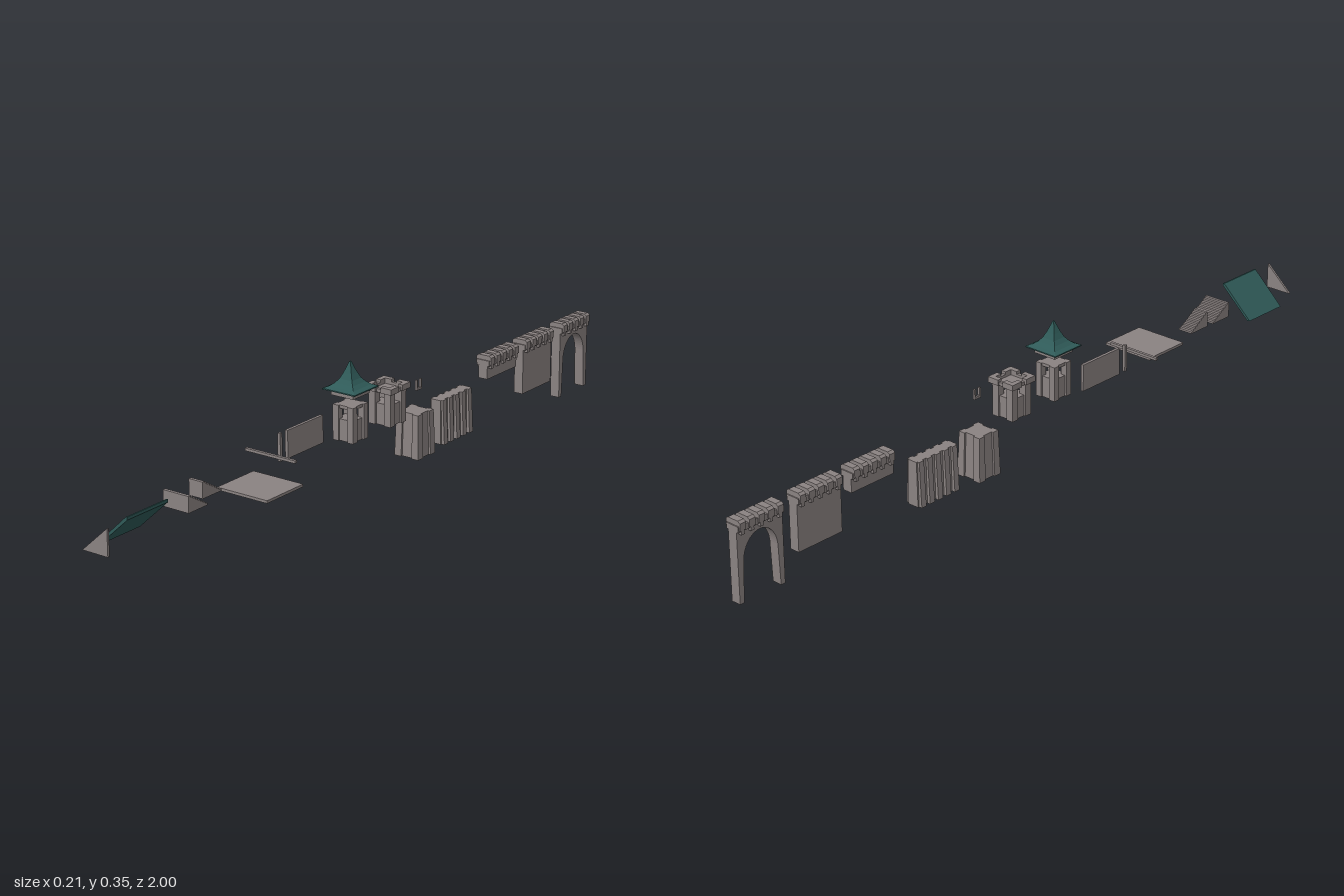
import * as THREE from 'three';

const stone = new THREE.MeshStandardMaterial({ color: 0x8a8281 });
stone.name = 'warm grey stone';
const tile = new THREE.MeshStandardMaterial({ color: 0x2f5a58 });
tile.name = 'dark teal roof tile';

const CX = -0.004; // shared centre line of the kit pieces
const SIGNS = [-1, 1];

export function createModel() {
  const root = new THREE.Group();
  root.name = 'castleKit';

  const piece = (name, x = CX, z = 0) => {
    const g = new THREE.Group();
    g.name = name;
    g.position.set(x, 0, z);
    root.add(g);
    return g;
  };
  const add = (parent, name, geo, mat = stone) => {
    const m = new THREE.Mesh(geo, mat);
    m.name = name;
    parent.add(m);
    return m;
  };
  // Box given by its limits
  const box = (parent, name, x0, x1, y0, y1, z0, z1, mat) => add(parent, name,
    new THREE.BoxGeometry(x1 - x0, y1 - y0, z1 - z0)
      .translate((x0 + x1) / 2, (y0 + y1) / 2, (z0 + z1) / 2), mat);
  // Box whose top corners are moved towards the axis by factors fx, fz
  const tapered = (parent, name, x0, x1, y0, y1, z0, z1, fx, fz) => {
    const m = box(parent, name, x0, x1, y0, y1, z0, z1);
    const p = m.geometry.attributes.position;
    for (let i = 0; i < p.count; i++) {
      if (p.getY(i) > (y0 + y1) / 2) p.setXYZ(i, p.getX(i) * fx, p.getY(i), p.getZ(i) * fz);
    }
    m.geometry = m.geometry.toNonIndexed();
    m.geometry.computeVertexNormals();
    return m;
  };
  // Outline in the z-y plane, extruded along x
  const sidePlate = (parent, name, shape, width) => add(parent, name,
    new THREE.ExtrudeGeometry(shape, { depth: width, bevelEnabled: false, curveSegments: 16 })
      .translate(0, 0, -width / 2).rotateY(-Math.PI / 2));
  const polygon = (pts) => new THREE.Shape(pts.map(([a, b]) => new THREE.Vector2(a, b)));

  // Parapet with corbels and merlons for wall sections
  const HALF = 0.069;
  const battlement = (g) => {
    box(g, 'parapetBand', -0.019, 0.019, 0.183, 0.198, -HALF, HALF);
    for (let i = 0; i < 5; i++) {
      const z = (i - 2) * 0.0285;
      box(g, 'merlon', -0.023, 0.023, 0.187, 0.206, z - 0.009, z + 0.009);
      tapered(g, 'merlonCap', -0.023, 0.023, 0.206, 0.211, z - 0.009, z + 0.009, 0.7, 1);
      for (const s of SIGNS) {
        box(g, 'corbel', s * 0.0175 - 0.0045, s * 0.0175 + 0.0045, 0.176, 0.187, z - 0.005, z + 0.005);
      }
    }
  };

  // Gate arch
  const arch = piece('gateArch', CX, -0.929);
  const outline = new THREE.Shape();
  outline.moveTo(-HALF, 0);
  outline.lineTo(-0.056, 0);
  outline.lineTo(-0.052, 0.1);
  outline.absellipse(0, 0.1, 0.052, 0.066, Math.PI, 0, true);
  outline.lineTo(0.056, 0);
  outline.lineTo(HALF, 0);
  outline.lineTo(HALF, 0.19);
  outline.lineTo(-HALF, 0.19);
  sidePlate(arch, 'archWall', outline, 0.027);
  battlement(arch);

  // Tall and short battlemented walls
  for (const [name, z, y0] of [['tallWall', -0.746, 0.06], ['shortWall', -0.575, 0.147]]) {
    const wall = piece(name, CX, z);
    box(wall, 'wallBody', -0.0135, 0.0135, y0, 0.19, -HALF, HALF);
    battlement(wall);
  }

  // Wall base with sloping buttresses
  const base = piece('wallBase', CX, -0.361);
  tapered(base, 'baseBody', -0.016, 0.016, 0.028, 0.147, -HALF, HALF, 0.85, 1);
  for (let i = 0; i < 5; i++) {
    const z = (i - 2) * 0.0285;
    tapered(base, 'buttress', -0.025, 0.025, 0.028, 0.147, z - 0.008, z + 0.008, 0.76, 1);
  }

  // Square corner piers shared by the tower sections
  const corners = (g, name, inner, outer, y0, y1, f) => {
    for (const sx of SIGNS) for (const sz of SIGNS) {
      const [x0, x1] = [sx * inner, sx * outer].sort((a, b) => a - b);
      const [z0, z1] = [sz * inner, sz * outer].sort((a, b) => a - b);
      tapered(g, name, x0, x1, y0, y1, z0, z1, f, f);
    }
  };

  // Tower base
  const towerBase = piece('towerBase', CX, -0.2);
  tapered(towerBase, 'baseCore', -0.032, 0.032, 0.027, 0.145, -0.032, 0.032, 0.9, 0.9);
  corners(towerBase, 'cornerPier', 0.0165, 0.0372, 0.027, 0.145, 0.91);

  // Window frame piece, open at the top
  const frame = piece('windowFrame', 0.025, -0.174);
  box(frame, 'frameSill', -0.003, 0.003, 0.213, 0.219, -0.011, 0.011);
  for (const s of SIGNS) box(frame, 'frameJamb', -0.003, 0.003, 0.219, 0.24, s * 0.0085 - 0.0025, s * 0.0085 + 0.0025);

  // Tower rooms with an opening on each side
  const towerRoom = (g, outer, top) => {
    box(g, 'roomCore', -outer + 0.005, outer - 0.005, 0.147, 0.203, -outer + 0.005, outer - 0.005);
    corners(g, 'cornerPier', 0.0135, outer, 0.147, top, 1);
    const r = outer - 0.004;
    box(g, 'lintelSlab', -r, r, 0.231, top, -r, r);
  };
  const openTower = piece('battlementTower', CX, -0.081);
  towerRoom(openTower, 0.0335, 0.236);
  for (const s of SIGNS) {
    const [a, b] = s < 0 ? [-0.036, -0.027] : [0.027, 0.036];
    box(openTower, 'parapetSide', a, b, 0.234, 0.243, -0.012, 0.012);
    box(openTower, 'parapetFace', -0.012, 0.012, 0.234, 0.243, a, b);
    // L-shaped corner merlons
    const [c, d] = s < 0 ? [-0.041, -0.027] : [0.027, 0.041];
    for (const t of SIGNS) {
      const [e, f] = t < 0 ? [-0.041, -0.008] : [0.008, 0.041];
      box(openTower, 'cornerMerlonSide', c, d, 0.235, 0.25, e, f);
      box(openTower, 'cornerMerlonFace', e, f, 0.235, 0.25, c, d);
    }
  }

  const roofTower = piece('roofedTower', CX, 0.073);
  towerRoom(roofTower, 0.031, 0.239);

  // Flared square spire on its collar
  const spire = piece('spireRoof', CX, 0.073);
  box(spire, 'roofCollar', -0.0335, 0.0335, 0.263, 0.279, -0.0335, 0.0335);
  const profile = [[0, 0.278], [0.049, 0.278], [0.049, 0.281], [0.037, 0.286], [0.027, 0.294],
    [0.019, 0.304], [0.0125, 0.318], [0.007, 0.332], [0.002, 0.347], [0, 0.347]]
    .map(([r, y]) => new THREE.Vector2(r * Math.SQRT2, y));
  const roofGeo = new THREE.LatheGeometry(profile, 4, Math.PI / 4).toNonIndexed();
  roofGeo.computeVertexNormals();
  add(spire, 'spire', roofGeo, tile);

  // Thin wall panel, post, beam and floor
  box(root, 'wallPanel', -0.047, -0.039, 0.147, 0.219, 0.137, 0.277);
  box(root, 'post', -0.047, -0.039, 0.147, 0.219, 0.298, 0.306);
  box(root, 'beam', -0.105, 0.047, 0.177, 0.184, 0.351, 0.359);
  box(root, 'floorSlab', -0.046, 0.103, 0.144, 0.151, 0.4, 0.535);

  // Narrow and wide stairs rising towards the front
  for (const [name, x0, x1, z0] of [['narrowStairs', -0.044, -0.003, 0.571], ['wideStairs', -0.045, 0.03, 0.66]]) {
    const steps = 8, run = 0.067 / steps, rise = 0.041 / steps;
    const pts = [[0.067, 0.163], [0.067, 0.204]];
    for (let i = steps - 1; i >= 0; i--) {
      pts.push([i * run, 0.163 + (i + 1) * rise], [i * run, 0.163 + i * rise]);
    }
    const g = piece(name, (x0 + x1) / 2, z0);
    sidePlate(g, 'steps', polygon(pts), x1 - x0);
  }

  // Sloping roof panel
  const slope = polygon([[-0.065, 0.134], [-0.058, 0.132], [0.028, 0.211], [0.028, 0.218], [0.024, 0.218]]);
  add(root, 'roofPanel', new THREE.ExtrudeGeometry(slope, { depth: 0.137, bevelEnabled: false })
    .translate(0, 0, 0.794), tile);

  // Triangular gable plate
  const gable = polygon([[-0.045, 0.146], [0.03, 0.146], [0.03, 0.214]]);
  add(root, 'gable', new THREE.ExtrudeGeometry(gable, { depth: 0.006, bevelEnabled: false })
    .translate(0, 0, 0.994));

  return root;
}
